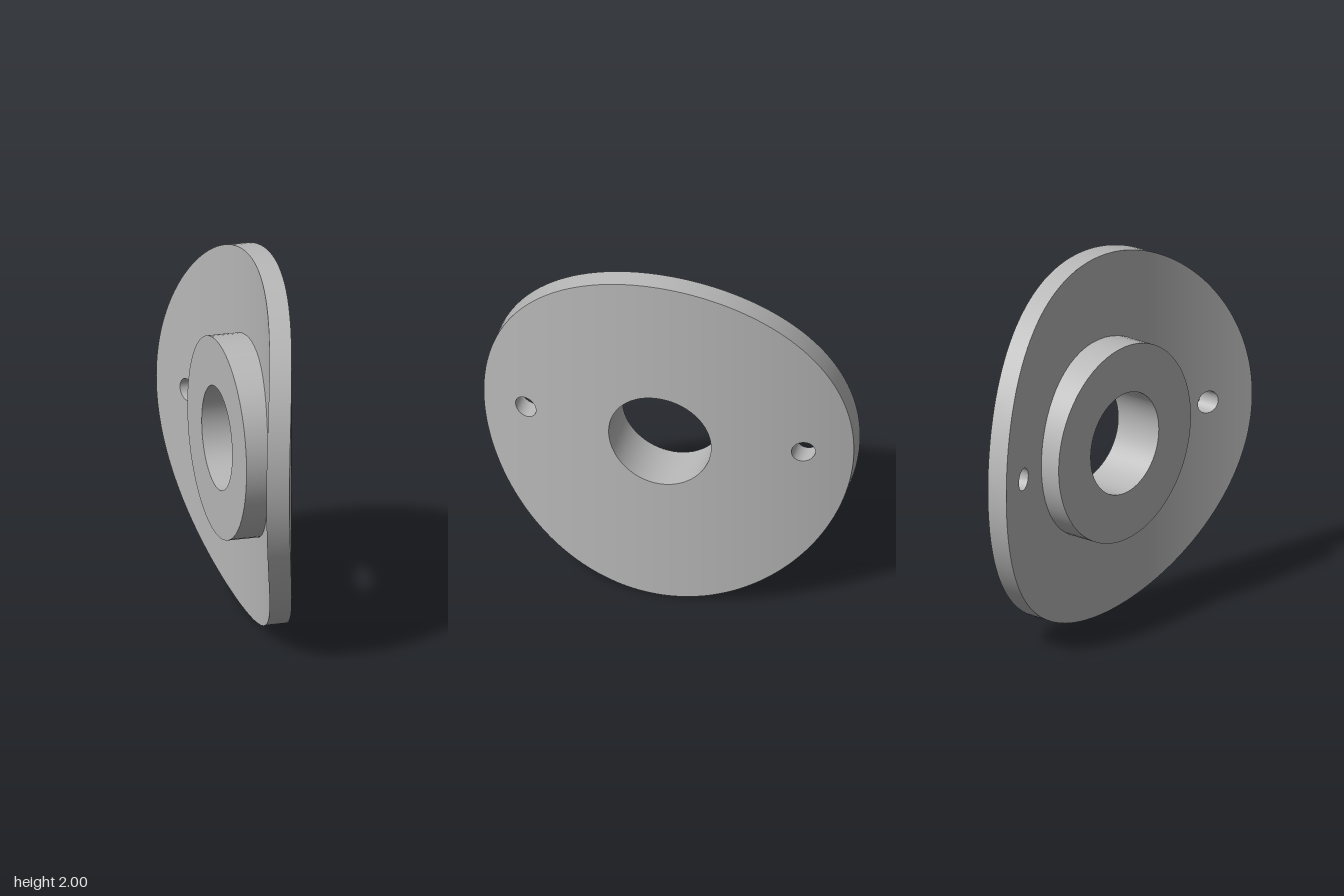
import * as THREE from 'three';
import { mergeGeometries } from 'three/addons/utils/BufferGeometryUtils.js';

// main sizes: disc axis runs along x, the disc is bent about a vertical axis
const DISC_R = 1, BORE_R = 0.277, BOSS_R = 0.538, BOLT_R = 0.06, BOLT_Z = 0.75;
const INNER = 2.54, OUTER = 2.656;      // bend radii of the two faces
const BEND_X = 0.1605 - OUTER;          // x of the bend axis
const BOSS_X = -0.13;                   // flat end of the boss

const faceX = (R, z) => BEND_X + Math.sqrt(R * R - z * z);
const half = (r, z) => Math.sqrt(Math.max(0, r * r - z * z));

// Grid surface; f(u, v) gives { p, n }, triangles are wound to match n
function grid(nu, nv, f) {
  const pos = [], nor = [], idx = [];
  for (let i = 0; i <= nu; i++) {
    for (let j = 0; j <= nv; j++) {
      const { p, n } = f(i / nu, j / nv);
      pos.push(...p);
      nor.push(...n);
    }
  }
  const V = k => new THREE.Vector3().fromArray(pos, k * 3);
  const add = (a, b, c) => {
    const face = V(b).sub(V(a)).cross(V(c).sub(V(a)));
    if (face.length() < 1e-12) return;
    const n = new THREE.Vector3().fromArray(nor, a * 3);
    if (face.dot(n) > 0) idx.push(a, b, c);
    else idx.push(a, c, b);
  };
  for (let i = 0; i < nu; i++) {
    for (let j = 0; j < nv; j++) {
      const a = i * (nv + 1) + j, b = a + nv + 1;
      add(a, b, b + 1);
      add(a, b + 1, a + 1);
    }
  }
  const g = new THREE.BufferGeometry();
  g.setAttribute('position', new THREE.Float32BufferAttribute(pos, 3));
  g.setAttribute('normal', new THREE.Float32BufferAttribute(nor, 3));
  g.setIndex(idx);
  return g;
}

// Curved disc face with a central opening and two bolt holes, in vertical strips
function curvedFace(R, side, openR) {
  const a = BOLT_Z - BOLT_R, b = BOLT_Z + BOLT_R;
  const stops = [-DISC_R, -b, -a, -openR, openR, a, b, DISC_R];
  const holes = { 1: [-BOLT_Z, BOLT_R], 3: [0, openR], 5: [BOLT_Z, BOLT_R] };
  const parts = [];
  for (let k = 0; k < 7; k++) {
    for (const s of [1, -1]) {
      parts.push(grid(32, 1, (u, v) => {
        const t = (1 - Math.cos(Math.PI * u)) / 2;
        const z = THREE.MathUtils.lerp(stops[k], stops[k + 1], t);
        const low = holes[k] ? half(holes[k][1], z - holes[k][0]) : 0;
        const y = 1 + s * THREE.MathUtils.lerp(low, half(DISC_R, z), v);
        const x = faceX(R, z);
        return { p: [x, y, z], n: [side * (x - BEND_X) / R, 0, side * z / R] };
      }));
    }
  }
  return mergeGeometries(parts);
}

// Round wall along x between two x rules; side 1 faces outward, -1 into the hole
function wall(r, zc, side, x0, x1, seg = 64) {
  return grid(seg, 1, (u, v) => {
    const c = Math.cos(u * Math.PI * 2), s = Math.sin(u * Math.PI * 2);
    const z = zc + r * c;
    return {
      p: [THREE.MathUtils.lerp(x0(z), x1(z), v), 1 + r * s, z],
      n: [0, side * s, side * c],
    };
  });
}

export function createModel() {
  const group = new THREE.Group();
  const grey = new THREE.MeshStandardMaterial({ color: 0xb8b8b8 });
  grey.name = 'plain grey';
  const add = (name, geometry) => {
    const mesh = new THREE.Mesh(geometry, grey);
    mesh.name = name;
    group.add(mesh);
    return mesh;
  };
  const inner = z => faceX(INNER, z), outer = z => faceX(OUTER, z), bossEnd = () => BOSS_X;

  // bent disc
  add('convexFace', curvedFace(OUTER, 1, BORE_R));
  add('concaveFace', curvedFace(INNER, -1, BOSS_R));
  add('discRim', wall(DISC_R, 0, 1, inner, outer, 128));

  // boss on the concave side, with the bore running right through
  add('bossWall', wall(BOSS_R, 0, 1, bossEnd, inner));
  const end = new THREE.RingGeometry(BORE_R, BOSS_R, 64);
  end.rotateY(-Math.PI / 2);
  end.translate(BOSS_X, 1, 0);
  add('bossEnd', end);
  add('boreWall', wall(BORE_R, 0, -1, bossEnd, outer));

  // bolt holes
  for (const s of [1, -1]) {
    add(s > 0 ? 'frontBoltHole' : 'backBoltHole', wall(BOLT_R, s * BOLT_Z, -1, inner, outer));
  }
  return group;
}
